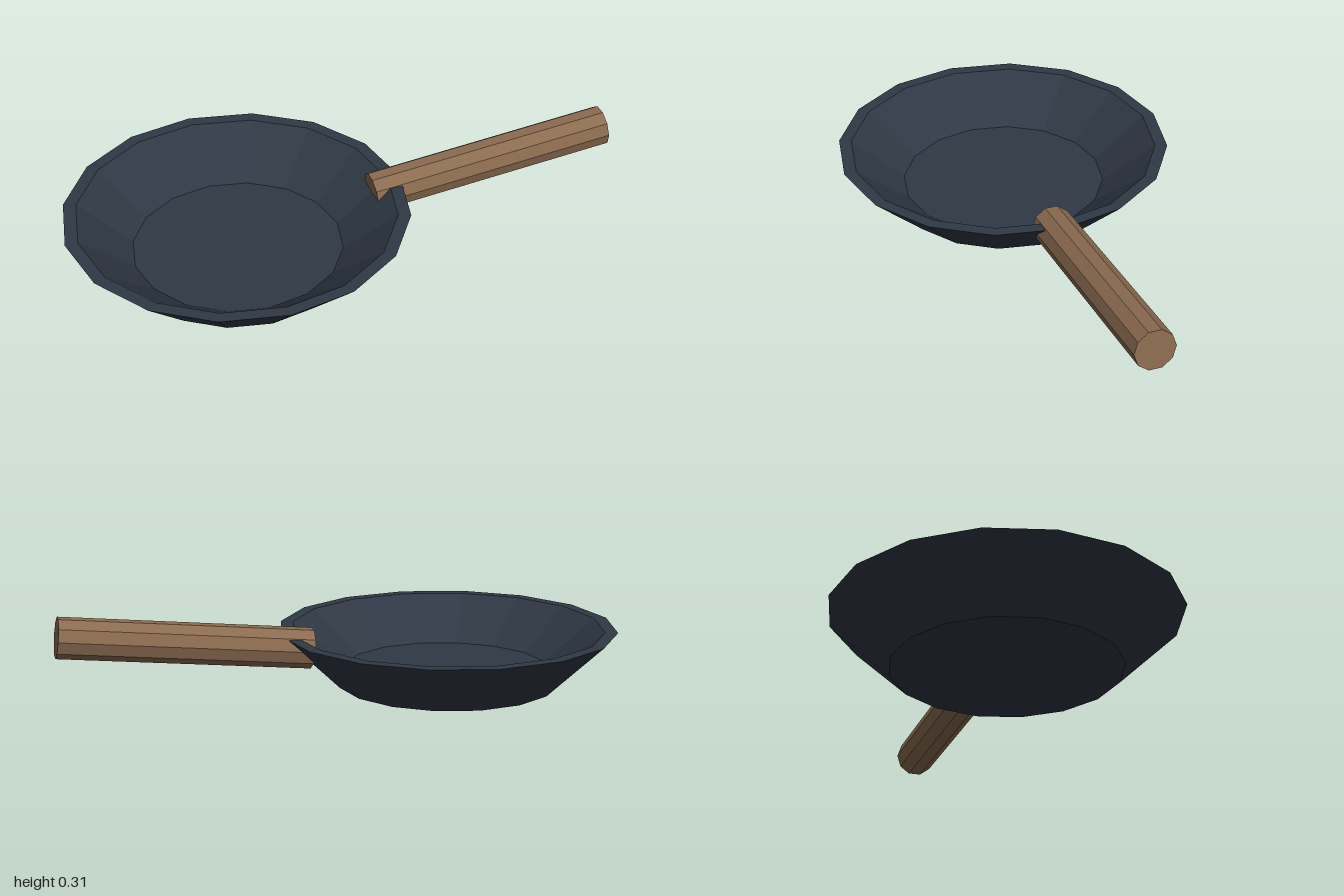
import * as THREE from 'three';

export function createModel() {
  const iron = new THREE.MeshStandardMaterial({ color: 0x2f3844, flatShading: true });
  iron.name = 'dark iron';
  const wood = new THREE.MeshStandardMaterial({ color: 0x8b6b50, flatShading: true });
  wood.name = 'brown wood';

  const model = new THREE.Group();
  model.name = 'fryingPan';

  // Pan: closed 16-sided profile, from underside over the rim to the inner floor
  const profile = [
    [0, 0], [0.395, 0], [0.605, 0.2], [0.56, 0.2], [0.37, 0.05], [0, 0.05],
  ].map(([r, y]) => new THREE.Vector2(r, y));
  const pan = new THREE.Mesh(new THREE.LatheGeometry(profile, 16), iron);
  pan.name = 'pan';
  pan.position.x = -0.395;
  model.add(pan);

  // Handle: ten-sided rod running through the pan wall, tilted slightly up
  const start = new THREE.Vector2(0.105, 0.153);
  const end = new THREE.Vector2(0.993, 0.242);
  const rod = new THREE.CylinderGeometry(0.0725, 0.0725, start.distanceTo(end), 10);
  const handle = new THREE.Mesh(rod, wood);
  handle.name = 'handle';
  handle.position.set((start.x + end.x) / 2, (start.y + end.y) / 2, 0);
  handle.rotation.z = Math.atan2(end.y - start.y, end.x - start.x) - Math.PI / 2;
  model.add(handle);

  return model;
}
